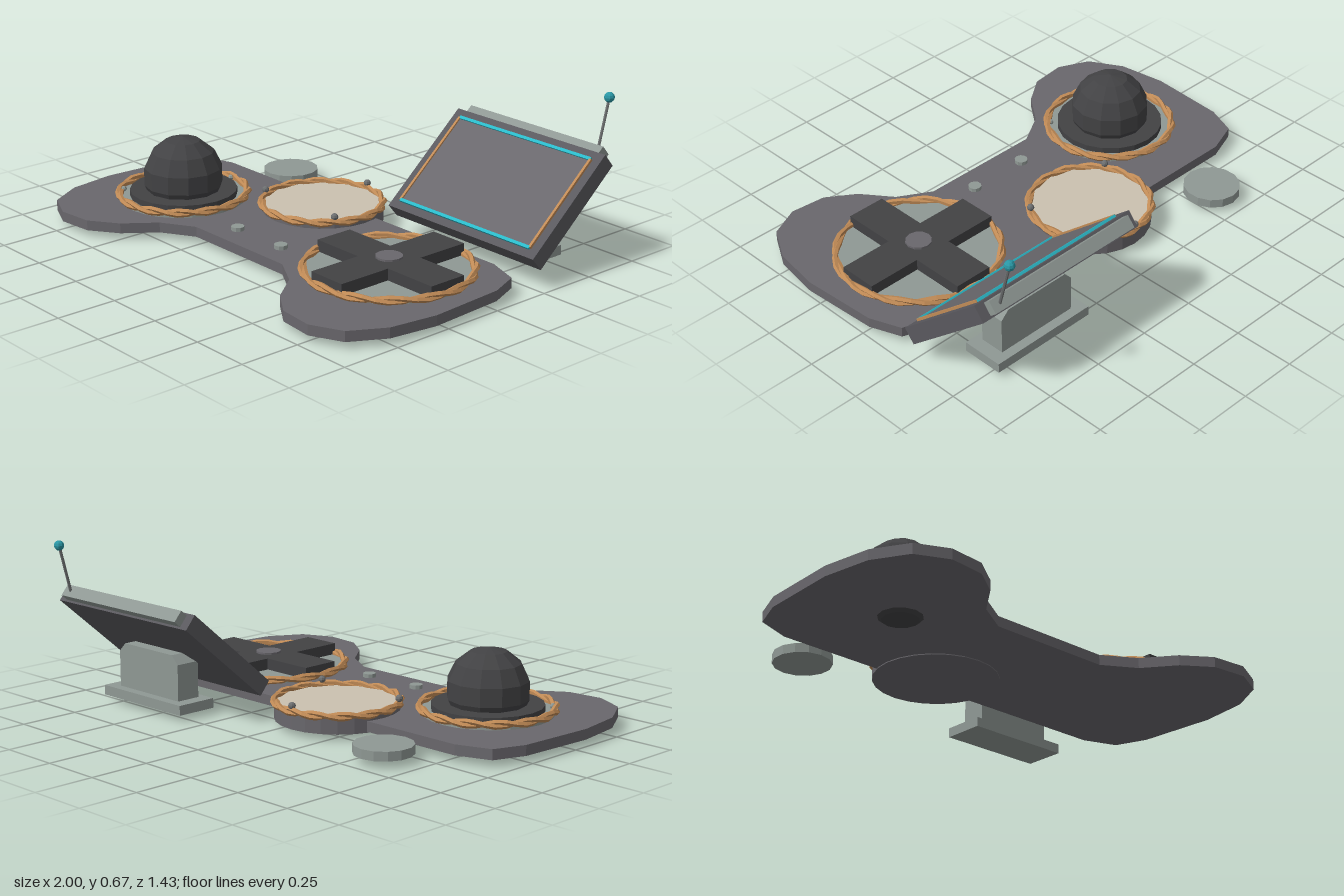
import * as THREE from 'three';

const mat = (name, color, extra = {}) => {
  const m = new THREE.MeshStandardMaterial({ color, flatShading: true, ...extra });
  m.name = name;
  return m;
};

// Two-strand twisted hoop lying flat
class Strand extends THREE.Curve {
  constructor(radius, phase) {
    super();
    this.radius = radius;
    this.phase = phase;
  }
  getPoint(t, target = new THREE.Vector3()) {
    const a = t * Math.PI * 2, w = a * 7 + this.phase;
    const r = this.radius + 0.008 * Math.cos(w);
    return target.set(r * Math.cos(a), 0.009 * Math.sin(w), r * Math.sin(a));
  }
}

export function createModel() {
  const plateGrey = mat('plate grey', 0x69676c);
  const frameGrey = mat('frame grey', 0x5a595e);
  const paleGrey = mat('pale grey', 0x8f9894);
  const charcoal = mat('charcoal', 0x424244);
  const copper = mat('copper', 0xc18b56);
  const cream = mat('cream', 0xcbc1b0);
  const cyan = mat('cyan', 0x2bb9c9);
  const teal = mat('teal', 0x2a98a6);
  const steel = mat('steel', 0x6d6f70);

  const model = new THREE.Group();
  model.name = 'controlPad';

  const add = (name, geometry, material, x = 0, y = 0, z = 0, parent = model) => {
    const mesh = new THREE.Mesh(geometry, material);
    mesh.name = name;
    mesh.position.set(x, y, z);
    parent.add(mesh);
    return mesh;
  };
  // Disc from height y0 to y1
  const disc = (name, material, r, y0, y1, x, z, sides = 24) =>
    add(name, new THREE.CylinderGeometry(r, r, y1 - y0, sides), material, x, (y0 + y1) / 2, z);
  const box = (name, material, w, h, d, x, y, z, parent) =>
    add(name, new THREE.BoxGeometry(w, h, d), material, x, y, z, parent);
  const hoop = (name, r, x, y, z) => {
    const g = new THREE.Group();
    g.name = name;
    g.position.set(x, y, z);
    for (const phase of [0, Math.PI])
      add(name + 'Strand', new THREE.TubeGeometry(new Strand(r, phase), 42, 0.011, 5, true), copper, 0, 0, 0, g);
    model.add(g);
  };

  // Base plate, mirrored from its right-hand outline
  const half = [
    [0.79, -0.195], [0.93, -0.145], [0.98, -0.015], [1, 0.31], [0.97, 0.51], [0.89, 0.65],
    [0.76, 0.71], [0.61, 0.695], [0.495, 0.615], [0.4, 0.49], [0.265, 0.41],
  ];
  const outline = [...half, ...half.map(([x, z]) => [-x, z]).reverse()]
    .map(([x, z]) => new THREE.Vector2(x, -z)).reverse();
  const plate = new THREE.ExtrudeGeometry(new THREE.Shape(outline), { depth: 0.042, bevelEnabled: false });
  plate.rotateX(-Math.PI / 2);
  add('basePlate', plate, plateGrey, 0, 0.03, 0);

  // Track ball with collar and hoop
  const bx = -0.583, bz = 0.228;
  disc('ballDish', paleGrey, 0.26, 0.05, 0.085, bx, bz);
  disc('ballCollar', charcoal, 0.222, 0.06, 0.11, bx, bz, 20);
  add('trackBall', new THREE.SphereGeometry(0.166, 12, 7), charcoal, bx, 0.168, bz);
  hoop('ballHoop', 0.264, bx, 0.096, bz);
  for (const a of [0.77, 2.37, 4.71])
    add('dishRivet', new THREE.SphereGeometry(0.012, 6, 4), paleGrey,
      bx + 0.25 * Math.cos(a), 0.098, bz + 0.25 * Math.sin(a));

  // Round middle pad overhanging the back edge
  const mx = -0.107, mz = -0.118;
  disc('padBody', plateGrey, 0.25, 0.026, 0.088, mx, mz);
  disc('padFace', cream, 0.242, 0.086, 0.094, mx, mz);
  hoop('padHoop', 0.247, mx, 0.097, mz);
  for (let i = 0; i < 3; i++) {
    const a = -Math.PI / 2 + i * Math.PI * 2 / 3;
    add('padRivet', new THREE.SphereGeometry(0.015, 8, 6), steel,
      mx + 0.247 * Math.cos(a), 0.12, mz + 0.247 * Math.sin(a));
  }

  // Direction cross
  const cx = 0.578, cz = 0.15;
  disc('crossDish', paleGrey, 0.325, 0.05, 0.08, cx, cz);
  hoop('crossHoop', 0.325, cx, 0.087, cz);
  const a = 0.083, b = 0.313;
  const crossPts = [[a, a], [a, b], [-a, b], [-a, a], [-b, a], [-b, -a],
    [-a, -a], [-a, -b], [a, -b], [a, -a], [b, -a], [b, a]].map(p => new THREE.Vector2(...p));
  const cross = new THREE.ExtrudeGeometry(new THREE.Shape(crossPts), { depth: 0.052, bevelEnabled: false });
  cross.rotateX(-Math.PI / 2);
  add('directionCross', cross, charcoal, cx, 0.075, cz);
  disc('crossHub', plateGrey, 0.053, 0.1, 0.135, cx, cz, 12);

  // Two small buttons and the loose disc behind
  for (const s of [-1, 1]) disc('smallButton', paleGrey, 0.027, 0.06, 0.088, s * 0.132, 0.305, 10);
  disc('looseDisc', paleGrey, 0.117, 0.03, 0.067, -0.583, -0.353, 14);

  // Screen stand with clipped upper corners
  box('standFoot', paleGrey, 0.47, 0.04, 0.175, cx, 0.047, -0.458);
  const w = 0.18, standPts = [[-w, 0], [w, 0], [w, 0.15], [w - 0.035, 0.185], [0.035 - w, 0.185], [-w, 0.15]]
    .map(p => new THREE.Vector2(...p));
  add('standPost', new THREE.ExtrudeGeometry(new THREE.Shape(standPts), { depth: 0.105, bevelEnabled: false }),
    paleGrey, cx, 0.065, -0.506);

  // Tilted screen
  const screen = new THREE.Group();
  screen.name = 'screen';
  screen.position.set(cx, 0.275, -0.427);
  screen.rotation.x = -0.864;
  model.add(screen);
  box('screenCase', frameGrey, 0.786, 0.503, 0.07, 0, 0, 0, screen);
  box('screenPanel', plateGrey, 0.7, 0.426, 0.006, 0, 0, 0.036, screen);
  box('screenTopBar', paleGrey, 0.705, 0.05, 0.052, 0, 0.262, 0, screen);
  for (const s of [-1, 1]) {
    box('trimSide', copper, 0.011, 0.426, 0.012, s * 0.35, 0, 0.039, screen);
    box('trimBar', cyan, 0.7, 0.013, 0.012, 0, s * 0.213, 0.039, screen);
  }

  // Aerial leaning back from the top bar
  const from = new THREE.Vector3(0.893, 0.455, -0.642), to = new THREE.Vector3(0.893, 0.655, -0.695);
  add('aerialRod', new THREE.TubeGeometry(new THREE.LineCurve3(from, to), 1, 0.006, 6), steel);
  add('aerialTip', new THREE.SphereGeometry(0.021, 8, 6), teal, to.x, to.y, to.z);

  return model;
}
